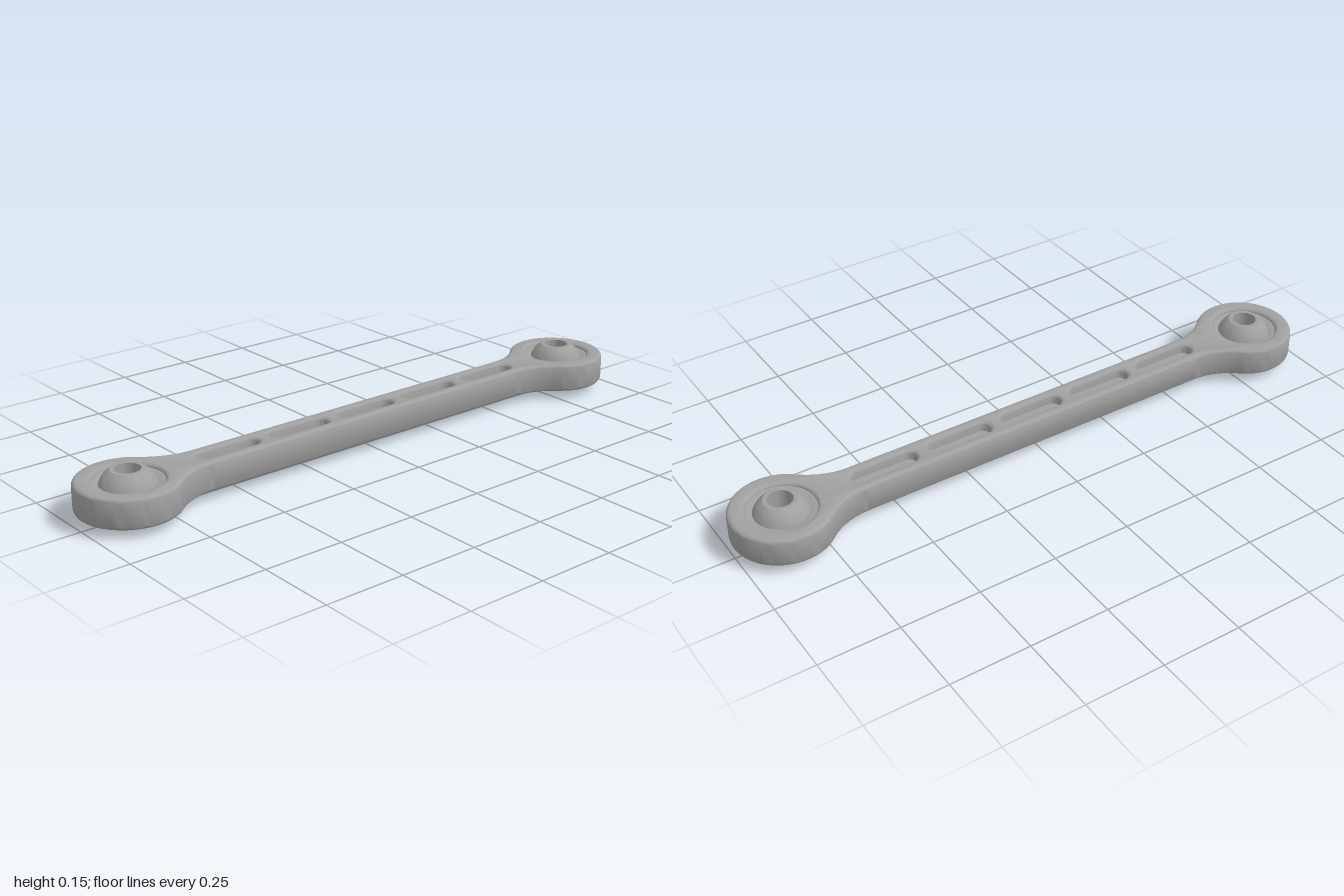
import * as THREE from 'three';
import { toCreasedNormals } from 'three/addons/utils/BufferGeometryUtils.js';

const MID = 0.073;            // mid height
const HALF = 0.046;           // half thickness of the link body
const EYE_X = 0.845, EYE_R = 0.155, BORE = 0.103;
const BAR = 0.06, NECK_X = 0.6;

// Outline of two round eyes joined by a bar with tangent neck fillets
function linkShape() {
  const dx = EYE_X - NECK_X;
  const r = (dx * dx + BAR * BAR - EYE_R * EYE_R) / (2 * (EYE_R - BAR));
  const c = BAR + r, a = Math.atan2(c, dx), P = Math.PI;
  const s = new THREE.Shape();
  s.moveTo(-NECK_X, -BAR);
  s.lineTo(NECK_X, -BAR);
  s.absarc(NECK_X, -c, r, P / 2, a, true);
  s.absarc(EYE_X, 0, EYE_R, a - P, P - a, false);
  s.absarc(NECK_X, c, r, -a, -P / 2, true);
  s.lineTo(-NECK_X, BAR);
  s.absarc(-NECK_X, c, r, -P / 2, a - P, true);
  s.absarc(-EYE_X, 0, EYE_R, a, 2 * P - a, false);
  s.absarc(-NECK_X, -c, r, P - a, P / 2, true);
  return s;
}

function slotPath(x, length, h) {
  const p = new THREE.Path(), e = length / 2 - h;
  p.moveTo(x - e, -h);
  p.lineTo(x + e, -h);
  p.absarc(x + e, 0, h, -Math.PI / 2, Math.PI / 2, false);
  p.lineTo(x - e, h);
  p.absarc(x - e, 0, h, Math.PI / 2, Math.PI * 1.5, false);
  return p;
}

export function createModel() {
  const model = new THREE.Group();
  model.name = 'linkRod';
  const steel = new THREE.MeshStandardMaterial({ color: 0xa0a0a0 });
  steel.name = 'grey steel';

  const add = (name, geometry, x, y) => {
    const mesh = new THREE.Mesh(geometry, steel);
    mesh.name = name;
    mesh.position.set(x, y, 0);
    model.add(mesh);
  };

  // Link body with eye bores and slot openings
  const shape = linkShape();
  for (const side of [-1, 1]) {
    shape.holes.push(new THREE.Path().absarc(side * EYE_X, 0, BORE, 0, Math.PI * 2, true));
  }
  for (let i = -2; i <= 2; i++) shape.holes.push(slotPath(i * 0.256, 0.212, 0.025));
  const bevel = 0.014;
  const body = new THREE.ExtrudeGeometry(shape, {
    depth: 2 * (HALF - bevel), bevelEnabled: true, bevelThickness: bevel,
    bevelSize: 0.012, bevelOffset: -0.012, bevelSegments: 4, curveSegments: 28,
  });
  body.translate(0, 0, bevel - HALF);
  body.rotateX(-Math.PI / 2);
  add('linkBody', toCreasedNormals(body, 0.6), 0, MID);

  // Thin web closing the slots halfway, leaving a pocket on each face
  add('pocketWeb', new THREE.BoxGeometry(1.28, 0.03, 0.08), 0, MID);

  // Bearing race: ring seated in each eye, dished towards the ball
  const raceProfile = [[0.08, -0.03], [0.098, -0.036], [0.106, -0.036], [0.106, 0.036],
    [0.098, 0.036], [0.08, 0.03], [0.08, -0.03]].map(([x, y]) => new THREE.Vector2(x, y));
  const race = toCreasedNormals(new THREE.LatheGeometry(raceProfile, 48), 0.5);

  // Pierced ball with flat ends
  const ballR = 0.0885, top = MID, hole = 0.038;
  const ballProfile = [new THREE.Vector2(hole, -top)];
  const limit = Math.asin(top / ballR);
  for (let i = 0; i <= 20; i++) {
    const t = -limit + (2 * limit * i) / 20;
    ballProfile.push(new THREE.Vector2(ballR * Math.cos(t), ballR * Math.sin(t)));
  }
  ballProfile.push(new THREE.Vector2(hole, top), new THREE.Vector2(hole, -top));
  const ball = toCreasedNormals(new THREE.LatheGeometry(ballProfile, 48), 0.5);

  for (const [label, side] of [['right', -1], ['left', 1]]) {
    add(label + 'BearingRace', race, side * EYE_X, MID);
    add(label + 'BearingBall', ball, side * EYE_X, MID);
  }
  return model;
}
